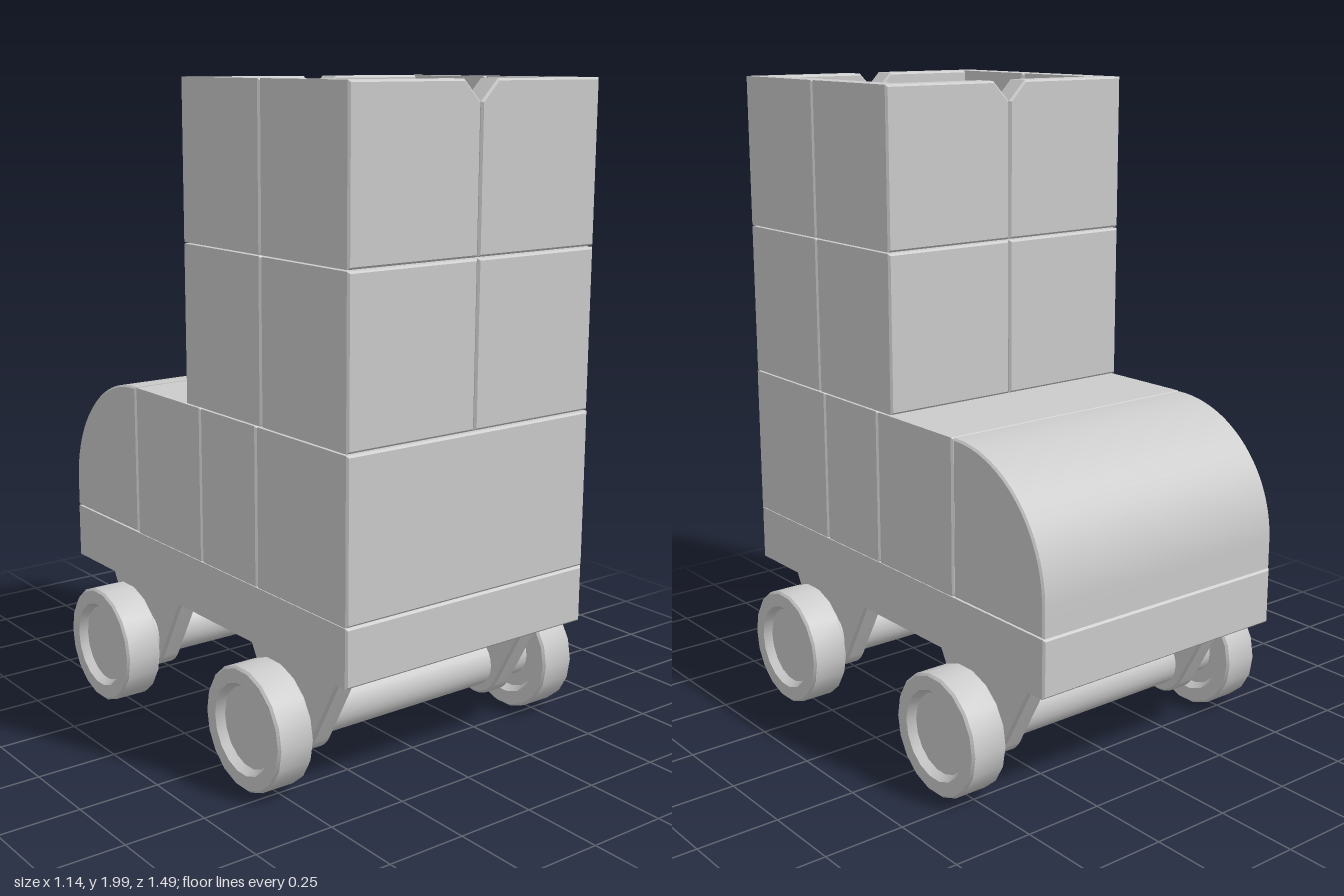
import * as THREE from 'three';
import { toCreasedNormals } from 'three/addons/utils/BufferGeometryUtils.js';

const material = new THREE.MeshStandardMaterial({ color: 0xcccccc });
const BEVEL = 0.006;

function part(name, geometry) {
  const mesh = new THREE.Mesh(toCreasedNormals(geometry, 0.5), material);
  mesh.name = name;
  return mesh;
}

// Extrude an outline with small bevels that stay inside it, centred on depth
function slab(shape, depth, bevel = BEVEL) {
  const geometry = new THREE.ExtrudeGeometry(shape, {
    depth: depth - 2 * bevel, bevelEnabled: true, bevelSize: bevel, bevelThickness: bevel,
    bevelOffset: -bevel, bevelSegments: 1, curveSegments: 12,
  });
  return geometry.translate(0, 0, bevel - depth / 2);
}

const outline = (points) => new THREE.Shape(points.map(([a, b]) => new THREE.Vector2(a, b)));

// Side profile in (z, y), extruded across x
const across = (shape, width, bevel) => slab(shape, width, bevel).rotateY(-Math.PI / 2);

// Bevelled block between two corners
function block(name, x0, x1, y0, y1, z0, z1) {
  const shape = outline([[x0, y0], [x1, y0], [x1, y1], [x0, y1]]);
  return part(name, slab(shape, z1 - z0).translate(0, 0, (z0 + z1) / 2));
}

// Hollow tower tier made of four corner blocks, optionally notched at the top
function towerTier(name, y0, y1, notch) {
  const tier = new THREE.Group();
  tier.name = name;
  const midZ = 0.351, half = 0.393, wall = 0.077;
  for (const sx of [-1, 1]) {
    for (const sz of [-1, 1]) {
      const corner = new THREE.Group();
      corner.name = (sz > 0 ? 'front' : 'back') + (sx > 0 ? 'Left' : 'Right') + 'CornerBlock';
      // End wall, with half of the V notch at the centre line
      const points = [[0.001 * sx, y0], [0.447 * sx, y0], [0.447 * sx, y1]];
      if (notch) points.push([0.06 * sx, y1], [0.001 * sx, y1 - 0.06]);
      else points.push([0.001 * sx, y1]);
      const endWall = slab(outline(points), wall);
      endWall.translate(0, 0, midZ + sz * (half - wall / 2));
      corner.add(part('endWall', endWall));
      // Side wall, running into the end wall
      const xs = [0.372 * sx, 0.447 * sx].sort((a, b) => a - b);
      const zs = [midZ + sz * 0.001, midZ + sz * (half - 0.02)].sort((a, b) => a - b);
      corner.add(block('sideWall', ...xs, y0, y1, ...zs));
      tier.add(corner);
    }
  }
  return tier;
}

// Wheel along x, dished on both faces
function wheel() {
  const h = 0.06, r = 0.185;
  const profile = [
    [0, -h + 0.025], [0.122, -h + 0.025], [0.136, -h], [r - 0.007, -h], [r, -h + 0.007],
    [r, h - 0.007], [r - 0.007, h], [0.136, h], [0.122, h - 0.025], [0, h - 0.025],
  ].map(([a, b]) => new THREE.Vector2(a, b));
  return new THREE.LatheGeometry(profile, 18).rotateZ(-Math.PI / 2);
}

// Axle hanger: wide at the top, tangent to a round end below
function hanger() {
  const shape = new THREE.Shape();
  const r = 0.11, a = Math.PI / 6;
  shape.moveTo(0.235, 0.2);
  shape.lineTo(-0.235, 0.2);
  shape.lineTo(-r * Math.cos(a), -r * Math.sin(a));
  shape.absarc(0, 0, r, Math.PI + a, 2 * Math.PI - a, false);
  shape.closePath();
  return across(shape, 0.07, 0.008);
}

export function createModel() {
  const model = new THREE.Group();
  model.name = 'blockVehicle';

  // Chassis and the solid lower blocks
  model.add(block('basePlate', -0.448, 0.448, 0.388, 0.562, -0.744, 0.744));
  const joints = [-0.34, 0.035, 0.325, 0.746];
  ['rearBodyBlock', 'middleBodyBlock', 'frontBodyBlock'].forEach((name, i) => {
    model.add(block(name, -0.448, 0.448, 0.564, 1.039, joints[i] + 0.001, joints[i + 1] - 0.001));
  });

  // Rounded hood
  const hood = new THREE.Shape();
  hood.moveTo(-0.342, 0.564);
  hood.lineTo(-0.342, 1.039);
  hood.lineTo(-0.355, 1.039);
  hood.absarc(-0.355, 0.652, 0.387, Math.PI / 2, Math.PI, false);
  hood.lineTo(-0.742, 0.564);
  hood.closePath();
  model.add(part('roundedHood', across(hood, 0.896)));

  // Hollow tower
  model.add(towerTier('lowerTowerTier', 1.043, 1.522, false));
  model.add(towerTier('upperTowerTier', 1.526, 2, true));

  // Axles with hangers and wheels
  for (const [name, z] of [['frontAxleSet', 0.418], ['rearAxleSet', -0.404]]) {
    const set = new THREE.Group();
    set.name = name;
    set.position.set(0, 0.19, z);
    set.add(part('axle', new THREE.CylinderGeometry(0.08, 0.08, 0.96, 24).rotateZ(Math.PI / 2)));
    for (const s of [-1, 1]) {
      const side = s > 0 ? 'left' : 'right';
      set.add(part(side + 'Hanger', hanger().translate(0.355 * s, 0, 0)));
      set.add(part(side + 'Wheel', wheel().translate(0.509 * s, 0, 0)));
    }
    model.add(set);
  }
  return model;
}
